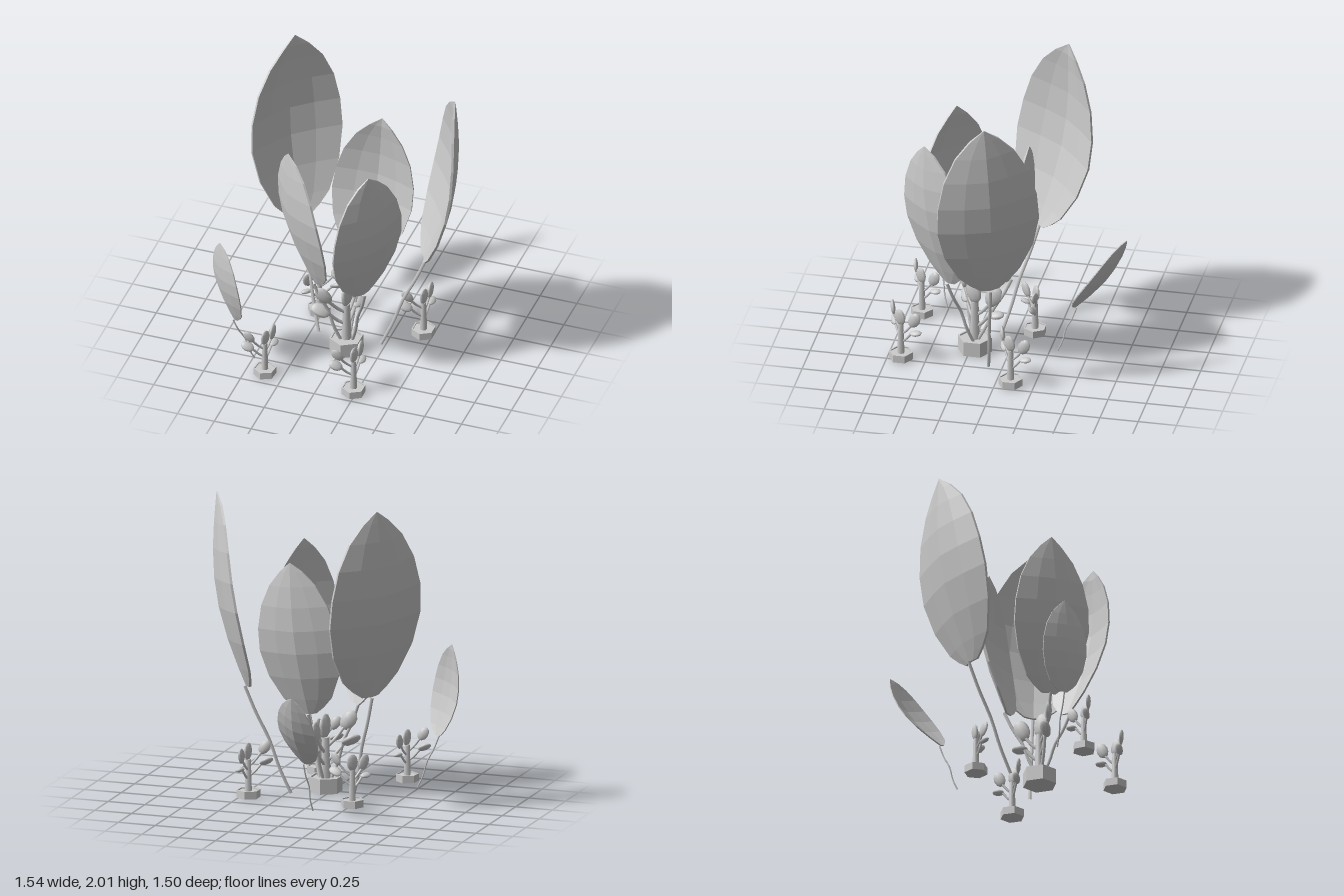
import * as THREE from 'three';

const V = (x, y, z) => new THREE.Vector3(x, y, z);
const grey = new THREE.MeshStandardMaterial({ color: 0xcccccc });
const faceted = new THREE.MeshStandardMaterial({ color: 0xcccccc, flatShading: true });

// [distance along leaf, relative half width]
const PROFILE = [[0, 0.18], [0.04, 0.38], [0.1, 0.6], [0.25, 0.87], [0.42, 1], [0.57, 0.97],
  [0.72, 0.83], [0.85, 0.58], [0.94, 0.28], [1, 0.005]];
const COLUMNS = [-1, -0.5, 0, 0.5, 1];

function mesh(name, geometry, material = grey) {
  const m = new THREE.Mesh(geometry, material);
  m.name = name;
  return m;
}

function tube(name, points, radius, steps = 10, sides = 5) {
  const curve = new THREE.CatmullRomCurve3(points);
  return mesh(name, new THREE.TubeGeometry(curve, steps, radius, sides));
}

// Cupped blade with a creased midrib, thin but closed; its convex side faces "outward"
function bladeGeometry(base, tip, outward, halfWidth) {
  const axis = tip.clone().sub(base);
  const length = axis.length();
  axis.normalize();
  const across = V(0, 1, 0).cross(outward);
  across.addScaledVector(axis, -across.dot(axis)).normalize();
  const normal = across.clone().cross(axis);
  const positions = [], index = [], n = COLUMNS.length, ring = n * 2;

  for (const [t, w] of PROFILE) {
    const point = (u, inset) => {
      const cup = length * 0.06 * w * (Math.abs(u) + u * u) / 2;
      const p = base.clone().addScaledVector(axis, t * length)
        .addScaledVector(across, u * w * halfWidth)
        .addScaledVector(normal, length * 0.078 * Math.sin(Math.PI * t) - cup - inset);
      positions.push(p.x, p.y, p.z);
    };
    const thickness = length * (t === 1 ? 0.004 : 0.012);
    COLUMNS.forEach(u => point(u, 0));
    [...COLUMNS].reverse().forEach(u => point(u, thickness));
  }
  for (let i = 0; i < PROFILE.length - 1; i++) {
    for (let j = 0; j < ring; j++) {
      const a = i * ring + j, b = i * ring + (j + 1) % ring;
      index.push(a, b, b + ring, a, b + ring, a + ring);
    }
  }
  // Cap under the base of the blade
  for (let j = 0; j < n - 1; j++) {
    const a = ring - 1 - j;
    index.push(a, a - 1, j + 1, a, j + 1, j);
  }
  const g = new THREE.BufferGeometry();
  g.setAttribute('position', new THREE.Float32BufferAttribute(positions, 3));
  g.setIndex(index);
  g.computeVertexNormals();
  return g;
}

// Large leaf with a slender, slightly wavy stem
function leaf(name, { root, base, tip, out, width, stem }) {
  const group = new THREE.Group();
  group.name = name;
  const r = V(...root), b = V(...base), bend = V(out[0], 0, out[1]);
  const points = [0, 0.25, 0.5, 0.75, 1].map((t, i) =>
    r.clone().lerp(b, t).addScaledVector(bend, [0, 0.006, -0.006, 0.008, 0.008][i]));
  group.add(tube('stem', points, stem));
  group.add(mesh('blade', bladeGeometry(b, V(...tip), bend, width), faceted));
  return group;
}

// Pads of a small plant: centre, long direction, flat normal, size
const PADS = [
  { at: [0.015, 0.29, -0.09], dir: [0, 0.85, -0.4], flat: [1, 0, 0.15], size: 1.1 },
  { at: [-0.085, 0.32, 0.07], dir: [-0.5, 0.8, 0.2], flat: [0.15, -0.1, 1], size: 1 },
  { at: [-0.1, 0.23, 0.06], dir: [-0.85, 0.4, 0.25], flat: [0.2, 0.75, 0.6], size: 0.95 },
  { at: [0.005, 0.3, 0.005], dir: [0, 1, 0.1], flat: [1, 0, 0.35], size: 1.15 },
  { at: [0.02, 0.2, -0.1], dir: [0.1, 0.1, -1], flat: [0.3, 1, 0.1], size: 0.8 },
];

// Small plant: hexagonal rimmed pot, tapered trunk, thin branches with oval pads
function pottedPlant(name, x, z, scale, potHeight, turn) {
  const group = new THREE.Group();
  group.name = name;
  const outline = [[0, 0], [0.078, 0], [0.078, potHeight], [0.069, potHeight],
    [0.069, potHeight - 0.008], [0, potHeight - 0.008]].map(p => new THREE.Vector2(...p));
  const pot = mesh('pot', new THREE.LatheGeometry(outline, 6), faceted);
  const trunk = mesh('trunk', new THREE.CylinderGeometry(0.017, 0.024, 0.22, 7));
  trunk.position.y = 0.14;
  group.add(pot, trunk);

  for (const { at, dir, flat, size } of PADS) {
    const long = V(...dir).normalize();
    const side = long.clone().cross(V(...flat)).normalize();
    const thin = side.clone().cross(long);
    const pad = mesh('pad', new THREE.SphereGeometry(1, 8, 6));
    pad.scale.set(0.035 * size, 0.05 * size, 0.015);
    pad.quaternion.setFromRotationMatrix(new THREE.Matrix4().makeBasis(side, long, thin));
    pad.position.set(...at);
    const end = V(...at).addScaledVector(long, -0.035 * size);
    const start = V(0, Math.min(0.2, end.y - 0.08), 0);
    const middle = start.clone().lerp(end, 0.5).add(V(0, -0.008, 0));
    group.add(pad, tube('branch', [start, middle, end], 0.008, 5));
  }
  group.position.set(x, 0, z);
  group.scale.setScalar(scale);
  group.rotation.y = turn;
  return group;
}

export function createModel() {
  const model = new THREE.Group();
  model.name = 'leafyPlants';

  // Two tall leaves, three medium ones around the centre pot, two small outliers
  const leaves = {
    tallRightLeaf: { root: [-0.2, 0, 0.1], base: [-0.4, 0.73, -0.11], tip: [-0.5, 2, -0.285], out: [-0.8, -0.6], width: 0.345, stem: 0.011 },
    tallLeftLeaf: { root: [0.22, 0, 0.09], base: [0.5, 0.7, 0.02], tip: [0.7, 1.965, 0.02], out: [0.9, -0.43], width: 0.335, stem: 0.011 },
    backLeaf: { root: [0.04, 0.08, 0.2], base: [0.06, 0.56, -0.02], tip: [0.14, 1.58, -0.16], out: [0.03, -1], width: 0.275, stem: 0.011 },
    frontRightLeaf: { root: [0.0, 0.08, 0.24], base: [-0.14, 0.56, 0.345], tip: [-0.3, 1.58, 0.41], out: [-0.68, 0.73], width: 0.27, stem: 0.011 },
    frontLeftLeaf: { root: [0.07, 0.08, 0.22], base: [0.2, 0.56, 0.36], tip: [0.28, 1.58, 0.5], out: [0.83, 0.56], width: 0.27, stem: 0.011 },
    smallFrontLeaf: { root: [-0.49, 0, 0.51], base: [-0.6, 0.33, 0.59], tip: [-0.685, 0.93, 0.625], out: [-0.66, 0.75], width: 0.16, stem: 0.005 },
    smallBackLeaf: { root: [-0.07, 0, -0.3], base: [-0.055, 0.335, -0.42], tip: [-0.085, 0.84, -0.75], out: [0.4, -0.9], width: 0.155, stem: 0.005 },
  };
  for (const [name, spec] of Object.entries(leaves)) model.add(leaf(name, spec));

  model.add(pottedPlant('centrePlant', 0.03, 0.22, 1.42, 0.07, 0));
  model.add(pottedPlant('frontRightPlant', -0.37, 0.65, 0.95, 0.05, -0.1));
  model.add(pottedPlant('frontLeftPlant', 0.235, 0.66, 1, 0.05, 0));
  model.add(pottedPlant('backRightPlant', -0.27, -0.11, 0.97, 0.05, 2.65));
  model.add(pottedPlant('backLeftPlant', 0.44, -0.1, 1, 0.05, 0));
  return model;
}
